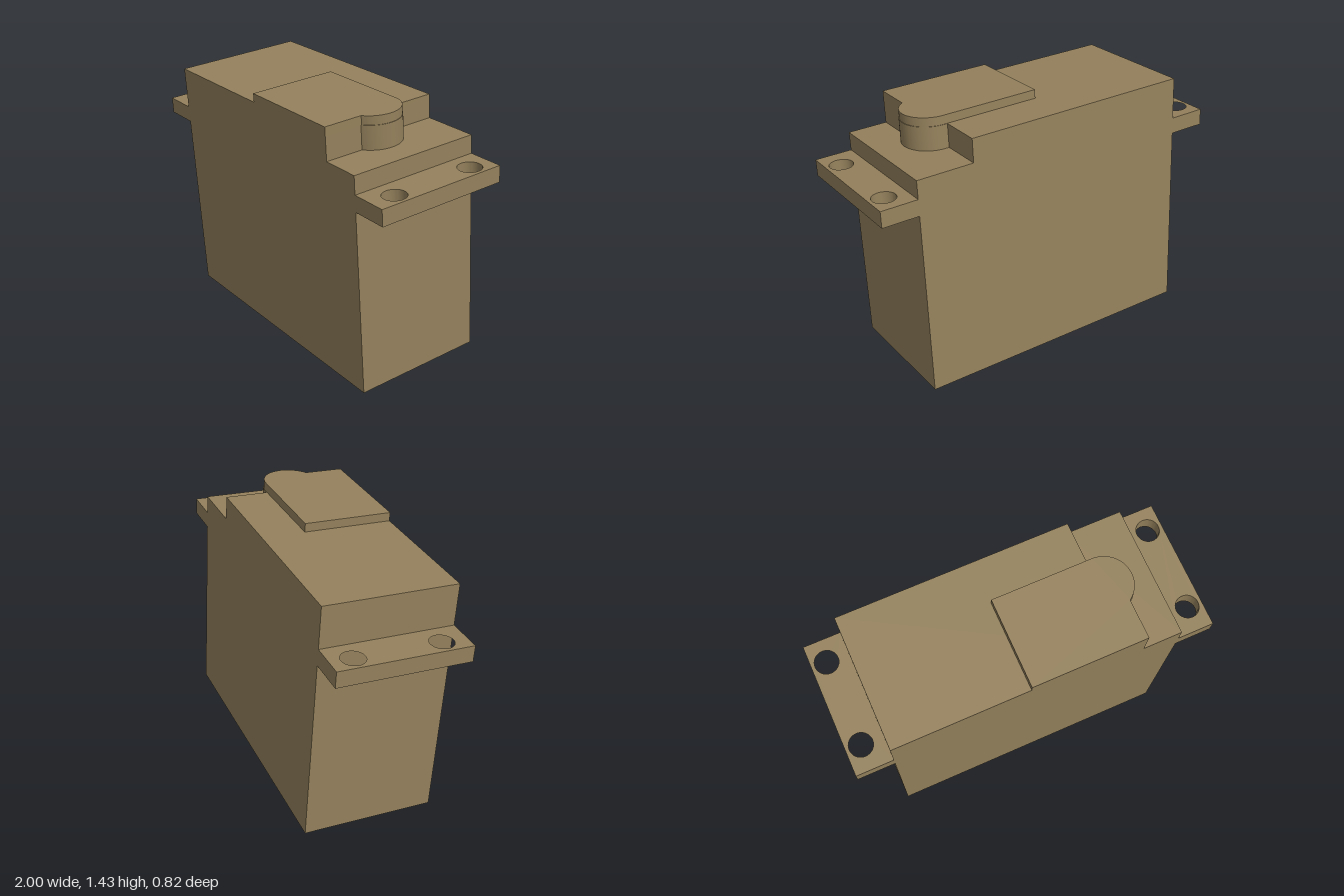
import * as THREE from 'three';
import { toCreasedNormals } from 'three/addons/utils/BufferGeometryUtils.js';

const DEPTH = 0.73;
const TILT = 0.0655;

export function createModel() {
  const model = new THREE.Group();
  model.name = 'servoMotor';
  const tan = new THREE.MeshStandardMaterial({ color: 0x94815c });
  tan.name = 'tan';

  // everything is built upright with its front bottom edge at the origin, then leaned forward
  const servo = new THREE.Group();
  servo.name = 'leaningServo';
  servo.rotation.x = TILT;
  servo.position.z = 0.32;
  model.add(servo);

  const add = (name, geometry) => {
    const mesh = new THREE.Mesh(toCreasedNormals(geometry, 0.5), tan);
    mesh.name = name;
    servo.add(mesh);
  };

  // extrudes a plan (x, distance back from the front) from y0 up to y1
  const slab = (plan, y0, y1) =>
    new THREE.ExtrudeGeometry(plan, { depth: y1 - y0, bevelEnabled: false, curveSegments: 24 })
      .rotateX(-Math.PI / 2)
      .translate(0, y0, 0);

  // stepped case
  const profile = new THREE.Shape([
    [-0.797, 0], [0.797, 0], [0.797, 1.22], [0.48, 1.22], [0.48, 1.35], [-0.797, 1.35],
  ].map(([x, y]) => new THREE.Vector2(x, y)));
  add('case', new THREE.ExtrudeGeometry(profile, { depth: DEPTH, bevelEnabled: false }).translate(0, 0, -DEPTH));

  // gear cover: straight front part with a round bulge behind it
  const coverPlan = (left, r) => {
    const cx = 0.5, cd = 0.342, edge = 0.58;
    const start = -Math.acos((edge - cx) / r);
    const plan = new THREE.Shape();
    plan.moveTo(left, 0);
    plan.lineTo(edge, 0);
    plan.lineTo(edge, cd + r * Math.sin(start));
    plan.absarc(cx, cd, r, start, Math.PI / 2, false);
    plan.lineTo(left, cd + r);
    plan.closePath();
    return plan;
  };
  add('gearCoverBase', slab(coverPlan(0.48, 0.153), 1.22, 1.35));
  add('gearCoverTop', slab(coverPlan(-0.053, 0.15), 1.35, 1.398));

  // mounting ears with two screw holes each
  for (const side of [1, -1]) {
    const inner = 0.797 * side;
    const plan = new THREE.Shape();
    plan.moveTo(inner, 0);
    plan.lineTo(side, 0);
    plan.lineTo(side, DEPTH);
    plan.lineTo(inner, DEPTH);
    plan.closePath();
    for (const d of [0.13, 0.6]) {
      const hole = new THREE.Path();
      hole.absarc(0.918 * side, d + 0.008, 0.063, 0, Math.PI * 2, true);
      plan.holes.push(hole);
    }
    add(side > 0 ? 'leftMountingEar' : 'rightMountingEar', slab(plan, 1.03, 1.12));
  }
  return model;
}
